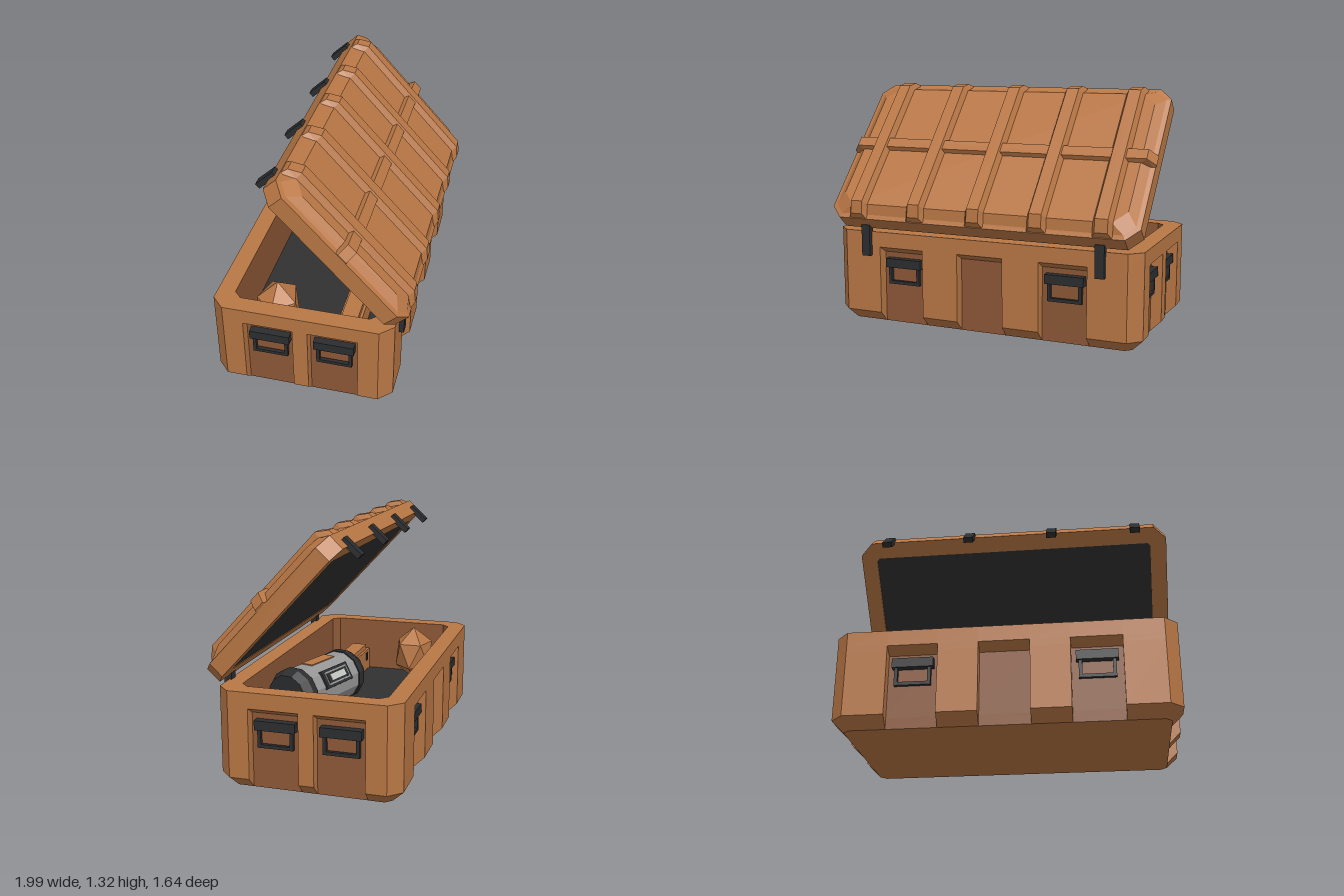
import * as THREE from 'three';

const mat = (name, color) => {
  const m = new THREE.MeshStandardMaterial({ color });
  m.name = name;
  return m;
};

const A = 0.886, B = 0.48, C = 0.068; // half length, half depth, corner cut
const NOTCH = 0.06, NOTCH_HALF = 0.132;
const LONG = [-0.471, 0.003, 0.473], SHORT = [-0.172, 0.172];

// Chamfered rectangle at height y, inset by e; notch floors are inset by n.
function outline(y, e, n = e, notched = false, c = C - 0.586 * e) {
  const pts = [];
  for (let k = 0; k < 4; k++) {
    const long = k % 2 === 0, depth = long ? B : A, half = (long ? A : B) - e - c;
    const s = Math.sin(k * Math.PI / 2), co = Math.cos(k * Math.PI / 2);
    const add = (t, d, panel = false) => {
      const p = [t * co + d * s, y, d * co - t * s];
      p.panel = panel;
      pts.push(p);
    };
    add(-half, depth - e);
    if (notched) for (const m of long ? LONG : SHORT) {
      add(m - NOTCH_HALF, depth - e);
      add(m - NOTCH_HALF, depth - n, true);
      add(m + NOTCH_HALF, depth - n);
      add(m + NOTCH_HALF, depth - e);
    }
    add(half, depth - e);
  }
  return pts;
}

// Flat-shaded skin over a stack of loops, with optional end caps.
function loft(loops, { start = false, end = false, keep = () => true } = {}) {
  const pos = [], v = q => new THREE.Vector3(...q);
  const tri = (a, b, c) => {
    const area = v(b).sub(v(a)).cross(v(c).sub(v(a))).length();
    if (area > 1e-8) pos.push(...a, ...b, ...c);
  };
  const N = loops[0].length;
  for (let l = 0; l < loops.length - 1; l++) for (let i = 0; i < N; i++) {
    if (!keep(l, loops[l][i])) continue;
    const j = (i + 1) % N, p = loops[l], q = loops[l + 1];
    tri(p[i], p[j], q[j]);
    tri(p[i], q[j], q[i]);
  }
  const last = loops[loops.length - 1];
  for (let i = 1; i < N - 1; i++) {
    if (start) tri(loops[0][0], loops[0][i + 1], loops[0][i]);
    if (end) tri(last[0], last[i], last[i + 1]);
  }
  const g = new THREE.BufferGeometry();
  g.setAttribute('position', new THREE.Float32BufferAttribute(pos, 3));
  g.computeVertexNormals();
  return g;
}

function flat(geo) {
  const g = geo.index ? geo.toNonIndexed() : geo;
  g.computeVertexNormals();
  return g;
}

// Bevelled strip running over the lid; path rows are base z, base y, top z, top y.
function strip(path, base, top) {
  const rows = [...path, ...path.slice().reverse().map(([a, b, c, d]) => [-a, b, -c, d])];
  return loft(rows.map(([zb, yb, zt, yt]) => [
    [-top, yt, zt], [top, yt, zt], [base, yb, zb], [-base, yb, zb]]), { start: true, end: true });
}

export function createModel() {
  const shell = mat('orange brown shell', 0xb97745);
  const panel = mat('dark brown panel', 0x8d5837);
  const liner = mat('charcoal liner', 0x313131);
  const metal = mat('black hardware', 0x2c2d2f);
  const grey = mat('grey casing', 0x969696);
  const light = mat('pale plate', 0xc8c8c4);

  const add = (parent, name, geo, m, x = 0, y = 0, z = 0) => {
    const mesh = new THREE.Mesh(geo, m);
    mesh.name = name;
    mesh.position.set(x, y, z);
    parent.add(mesh);
    return mesh;
  };
  const box = (parent, name, m, w, h, d, x, y, z) =>
    add(parent, name, new THREE.BoxGeometry(w, h, d), m, x, y, z);
  const group = (parent, name) => {
    const g = new THREE.Group();
    g.name = name;
    parent.add(g);
    return g;
  };

  const model = new THREE.Group();
  model.name = 'storageCrate';
  const crate = group(model, 'crate');
  crate.position.set(-0.0225, 0, -0.031);
  crate.rotation.y = 26 * Math.PI / 180;

  // Base with pillars, recessed panels, rim and interior
  const inner = y => outline(y, 0.096, 0.096, true, 0.04);
  const walls = [
    outline(0, NOTCH, NOTCH, true), outline(0.06, 0, NOTCH, true),
    outline(0.4, 0, NOTCH, true), outline(0.435, 0, 0, true),
    outline(0.52, 0, 0, true), inner(0.52)];
  const isPanel = (l, p) => p.panel && l < 2;
  add(crate, 'baseShell', loft(walls, { start: true, keep: (l, p) => !isPanel(l, p) }), shell);
  add(crate, 'recessPanels', loft(walls, { keep: isPanel }), panel);
  add(crate, 'innerWalls', loft([inner(0.52), inner(0.2)]), panel);
  add(crate, 'innerFloor', loft([inner(0.2), inner(0.2)], { end: true }), liner);

  // Carry handles in the recesses
  for (let k = 0; k < 4; k++) {
    const side = group(crate, 'handleSide');
    side.rotation.y = k * Math.PI / 2;
    const z = (k % 2 ? A : B) - NOTCH;
    for (const t of k % 2 ? SHORT : [LONG[0], LONG[2]]) {
      const h = group(side, 'handle');
      h.position.set(t, 0, z);
      box(h, 'handleCap', metal, 0.215, 0.05, 0.042, 0, 0.345, 0.021);
      for (const s of [-1, 1]) box(h, 'handleArm', metal, 0.018, 0.1, 0.02, s * 0.086, 0.275, 0.02);
      box(h, 'handleGrip', metal, 0.172, 0.018, 0.02, 0, 0.234, 0.02);
    }
  }

  // Hinges
  for (const s of [-1, 1]) box(crate, 'hinge', metal, 0.05, 0.175, 0.04, s * 0.678, 0.473, B + 0.006);

  // Open lid, turned about its hinge edge
  const hinge = group(crate, 'lidHinge');
  hinge.position.set(0, 0.54, B);
  hinge.rotation.x = 47.2 * Math.PI / 180;
  const lid = group(hinge, 'lid');
  lid.position.z = -B;
  add(lid, 'lidShell', loft([outline(0.004, 0.09), outline(0, 0.09), outline(0, 0), outline(0.09, 0),
    outline(0.096, 0.025), outline(0.132, 0.07, 0.07, false, 0.07)], { end: true }), shell);
  add(lid, 'lidLining', loft([outline(0.004, 0.09), outline(0.004, 0.09)], { start: true }), liner);
  const rib = strip([[0.478, 0.085, 0.468, 0.122], [0.41, 0.13, 0.412, 0.165]], 0.053, 0.034);
  for (let i = -2; i <= 2; i++) add(lid, 'lidRib', rib, shell, i * 0.35);
  const bar = strip([[0.88, 0.08, 0.893, 0.1], [0.816, 0.13, 0.85, 0.155]], 0.04, 0.03);
  add(lid, 'lidCrossbar', bar, shell).rotation.y = Math.PI / 2;
  for (const x of [-0.71, -0.237, 0.237, 0.71])
    box(lid, 'lidClip', metal, 0.055, 0.12, 0.03, x, -0.015, -B - 0.004);

  // Grey canister lying inside
  const can = group(crate, 'canister');
  can.position.set(0.13, 0.35, 0.19);
  can.rotation.y = -0.28;
  const roll = (name, m, r0, r1, len, x) => {
    const g = flat(new THREE.CylinderGeometry(r0, r1, len, 12, 1, false, Math.PI / 12));
    add(can, name, g, m, x).rotation.z = -Math.PI / 2;
  };
  roll('canisterBody', grey, 0.143, 0.143, 0.42, 0);
  for (const s of [-1, 1]) {
    roll('canisterShoulder', metal, s > 0 ? 0.125 : 0.15, s > 0 ? 0.15 : 0.125, 0.05, s * 0.275);
    roll('canisterBand', metal, 0.15, 0.15, 0.04, s * 0.23);
  }
  // Top stripe, and the face plate on the back upper side
  box(can, 'canisterStripe', shell, 0.22, 0.008, 0.072, 0, 0.14, 0);
  const face = group(can, 'canisterFace');
  face.rotation.x = Math.PI / 6;
  box(face, 'facePlate', metal, 0.25, 0.105, 0.02, 0, 0, -0.14);
  box(face, 'faceFrame', grey, 0.21, 0.075, 0.008, 0, 0, -0.15);
  box(face, 'faceInset', metal, 0.19, 0.058, 0.008, 0, 0, -0.153);
  box(face, 'faceWindow', light, 0.14, 0.035, 0.008, 0, 0, -0.156);

  // Small gear in the corner
  const gear = group(crate, 'cornerGear');
  const pouch = new THREE.IcosahedronGeometry(1, 0).rotateZ(0.5536);
  add(gear, 'gearPouch', flat(pouch), shell, -0.635, 0.365, -0.19).scale.set(0.145, 0.165, 0.125);
  box(gear, 'gearCase', shell, 0.41, 0.13, 0.12, -0.565, 0.27, 0.2);
  box(gear, 'gearCaseLid', shell, 0.36, 0.03, 0.09, -0.565, 0.35, 0.2);
  for (const s of [-1, 1]) box(gear, 'gearSlot', metal, 0.025, 0.05, 0.008, -0.565 + s * 0.14, 0.295, 0.138);

  return model;
}
